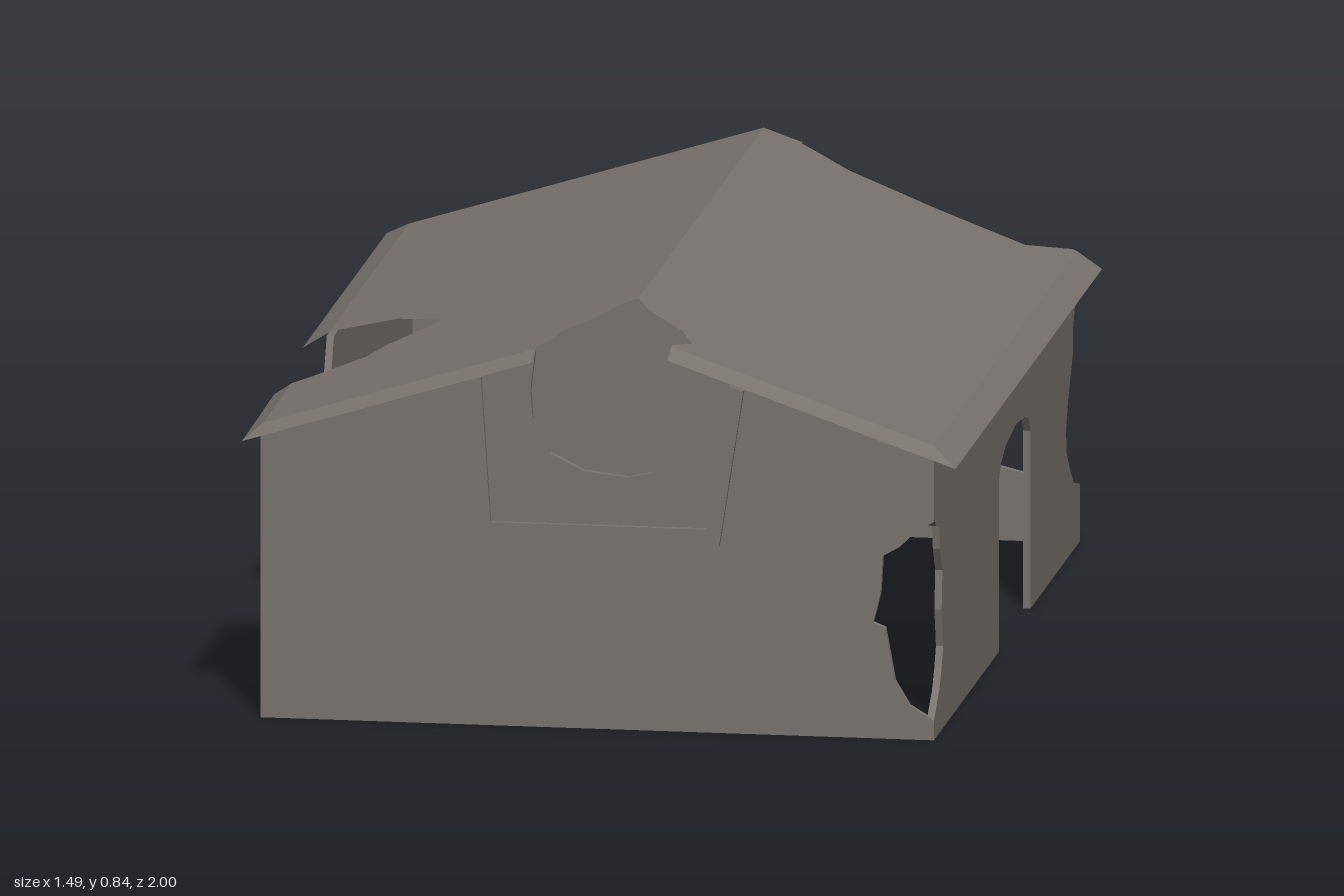
import * as THREE from 'three';

const stone = new THREE.MeshStandardMaterial({ color: 0x78736d, side: THREE.DoubleSide });
stone.name = 'weathered grey';

const RIDGE_X = 0.04, RIDGE_Y = 0.838, EAVE_Y = 0.613, WALL_X = 0.69;
const FRONT_Z = 0.95, BACK_Z = -0.94, THICK = 0.015;

const toShape = (pts) => new THREE.Shape(pts.map(([a, b]) => new THREE.Vector2(a, b)));

// Height of the two roof slopes, bent slightly down over the overhang
function roofY(x, z) {
  const run = x < RIDGE_X ? RIDGE_X + WALL_X : WALL_X - RIDGE_X;
  const slope = RIDGE_Y - (Math.abs(x - RIDGE_X) / run) * (RIDGE_Y - EAVE_Y);
  const side = (Math.abs(x) - WALL_X) / 0.05;
  const end = z > 0 ? (z - FRONT_Z) / 0.05 : (BACK_Z - z) / 0.06;
  return slope - 0.018 * Math.min(1, Math.max(0, side, end));
}

// Flat plan outline [x, z] lifted onto the roof
function roofPanel(name, pts) {
  const g = new THREE.ShapeGeometry(toShape(pts.map(([x, z]) => [x, -z])));
  const p = g.attributes.position;
  for (let i = 0; i < p.count; i++) {
    const x = p.getX(i), z = -p.getY(i);
    p.setXYZ(i, x, roofY(x, z), z);
  }
  g.computeVertexNormals();
  const m = new THREE.Mesh(g, stone);
  m.name = name;
  return m;
}

// Upright slab from an outline; side walls use [z, y], end walls use [x, y]
function slab(name, pts, depth, { x = 0, z = 0, side = false }) {
  const g = new THREE.ExtrudeGeometry(toShape(pts), { depth, bevelEnabled: false });
  if (side) g.rotateY(-Math.PI / 2);
  g.translate(x, 0, z);
  const m = new THREE.Mesh(g, stone);
  m.name = name;
  return m;
}

export function createModel() {
  const model = new THREE.Group();
  model.name = 'ruinedHouse';
  const walls = new THREE.Group();
  walls.name = 'walls';
  const roof = new THREE.Group();
  roof.name = 'roof';
  model.add(walls, roof);

  // Front gable with a broken corner and a hole under the ridge
  walls.add(slab('frontWall', [
    [-0.695, 0], [0.69, 0], [0.69, 0.04], [0.64, 0.07], [0.61, 0.12], [0.59, 0.23], [0.565, 0.24],
    [0.58, 0.3], [0.585, 0.38], [0.62, 0.4], [0.65, 0.43], [0.69, 0.455], [0.69, 0.606],
    [0.15, 0.793], [0.155, 0.75], [0.18, 0.68], [0.17, 0.62], [0.135, 0.6], [0.11, 0.535],
    [0.06, 0.525], [-0.03, 0.535], [-0.1, 0.57], [-0.135, 0.64], [-0.14, 0.7], [-0.13, 0.78],
    [-0.695, 0.606],
  ], THICK, { z: FRONT_Z - THICK }));

  // Back gable, collapsed on its +x side
  walls.add(slab('backWall', [
    [-0.695, 0], [0.69, 0], [0.69, 0.11], [0.62, 0.13], [0.5, 0.16], [0.36, 0.2], [0.29, 0.31],
    [0.27, 0.42], [0.22, 0.55], [0.14, 0.62], [0.12, 0.69], [0.105, 0.77], [0.1, 0.81],
    [RIDGE_X, 0.83], [-0.695, 0.606],
  ], THICK, { z: BACK_Z }));

  // Left (+x) wall with doorway and two broken corners
  walls.add(slab('leftWall', [
    [0.95, 0], [0.95, 0.04], [0.88, 0.09], [0.85, 0.13], [0.83, 0.17], [0.85, 0.25], [0.84, 0.33],
    [0.87, 0.38], [0.88, 0.43], [0.92, 0.44], [0.95, 0.46], [0.95, 0.606],
    [-0.91, 0.606], [-0.9, 0.54], [-0.85, 0.46], [-0.85, 0.41], [-0.82, 0.37], [-0.79, 0.33],
    [-0.76, 0.27], [-0.77, 0.22], [-0.81, 0.18], [-0.86, 0.14], [-0.94, 0.12], [-0.94, 0],
    [-0.3, 0], [-0.3, 0.37], [-0.28, 0.4], [-0.22, 0.415], [-0.12, 0.425], [0.02, 0.41],
    [0.08, 0.385], [0.105, 0.36], [0.105, 0],
  ], THICK, { x: WALL_X, side: true }));

  // Right (-x) wall with a breach tapering towards the ground
  walls.add(slab('rightWall', [
    [0.95, 0], [0.95, 0.606], [0.58, 0.606], [0.55, 0.52], [0.5, 0.43], [0.47, 0.32], [0.44, 0.2],
    [0.39, 0.09], [0.29, 0.07], [0.25, 0.18], [0.24, 0.28], [0.18, 0.36], [0.16, 0.47],
    [0.09, 0.606], [-0.94, 0.606], [-0.94, 0],
  ], THICK, { x: -WALL_X + 0.01, side: true }));

  // Raised U-shaped frame on the front gable
  walls.add(slab('gableFrame', [
    [-0.28, 0.715], [-0.26, 0.395], [0.25, 0.39], [0.3, 0.715],
    [0.27, 0.725], [0.225, 0.425], [-0.22, 0.425], [-0.24, 0.725],
  ], 0.037, { z: FRONT_Z - 0.024 }));

  // Main slopes with broken edges
  roof.add(roofPanel('rightSlope', [
    [RIDGE_X, BACK_Z], [-0.69, BACK_Z], [-0.69, 0.09], [-0.68, 0.09], [-0.54, 0.15], [-0.42, 0.31],
    [-0.52, 0.43], [-0.55, 0.5], [-0.65, 0.56], [-0.69, 0.575], [-0.69, FRONT_Z], [-0.13, FRONT_Z],
    [-0.13, 0.92], [-0.1, 0.89], [-0.1, 0.83], [-0.03, 0.77], [0, 0.7], [RIDGE_X, 0.68],
  ]));
  roof.add(roofPanel('leftSlope', [
    [RIDGE_X, BACK_Z], [RIDGE_X, 0.68], [0.07, 0.74], [0.15, 0.8], [0.18, 0.87], [0.15, 0.93],
    [0.15, FRONT_Z], [0.69, FRONT_Z], [0.69, -0.9], [0.68, -0.9], [0.6, -0.8], [0.42, -0.82],
    [0.23, -0.86], [0.12, -0.93], [0.12, BACK_Z],
  ]));

  // Overhangs around the roof
  const overhangs = {
    rightBackEave: [[-0.69, BACK_Z], [-0.745, -1], [-0.745, 0.09], [-0.69, 0.09]],
    rightFrontEave: [[-0.69, 0.575], [-0.725, 0.58], [-0.725, 1], [-0.69, FRONT_Z]],
    leftEave: [[0.69, -0.9], [0.742, -0.9], [0.742, 1], [0.69, FRONT_Z]],
    frontRightVerge: [[-0.69, FRONT_Z], [-0.725, 1], [-0.13, 1], [-0.13, FRONT_Z]],
    frontLeftVerge: [[0.15, FRONT_Z], [0.15, 1], [0.742, 1], [0.69, FRONT_Z]],
    backRightVerge: [[-0.69, BACK_Z], [-0.745, -1], [RIDGE_X, -1], [RIDGE_X, BACK_Z]],
    backLeftVerge: [[RIDGE_X, BACK_Z], [RIDGE_X, -1], [0.12, -1], [0.12, BACK_Z]],
  };
  for (const [name, pts] of Object.entries(overhangs)) roof.add(roofPanel(name, pts));

  return model;
}
